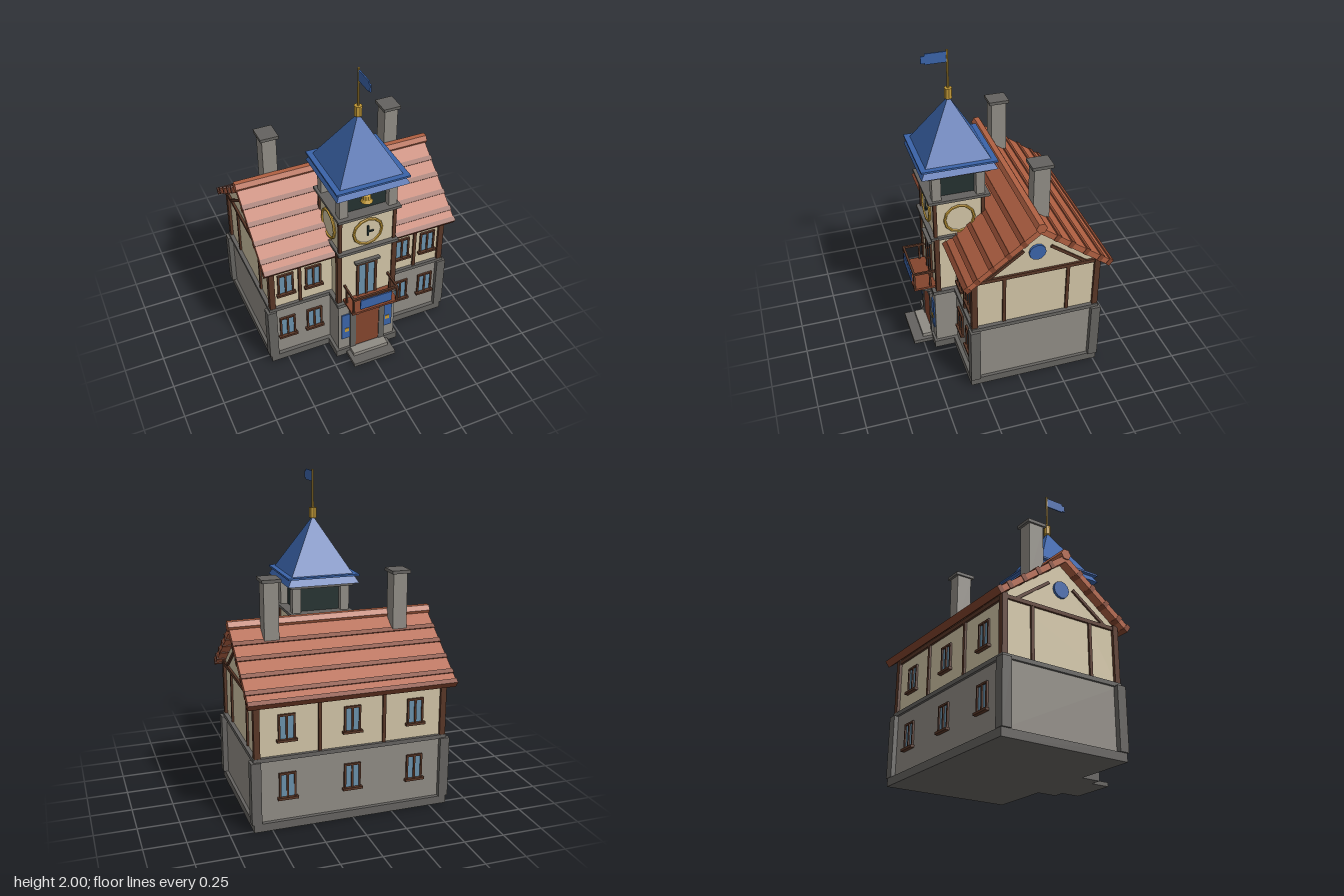
import * as THREE from 'three';

const mat = (name, color) => Object.assign(new THREE.MeshStandardMaterial({ color }), { name, flatShading: true });
const M = {
  stone: mat('stone', 0x8f8b84), trim: mat('dark stone', 0x64625f), plaster: mat('plaster', 0xd0c3a5),
  timber: mat('timber', 0x583626), tile: mat('roof tile', 0xb06042), brown: mat('red brown', 0x83442d),
  blue: mat('blue', 0x3a63a8), gold: mat('gold', 0xc39a38), glass: mat('glass', 0x6990aa), dark: mat('shadow', 0x243130),
};
const CZ = -0.105;  // centre line of the main house
const TZ = 0.25;    // centre line of the tower

export function createModel() {
  const root = new THREE.Group();
  const add = (name, geo, m, x = 0, y = 0, z = 0, parent = root) => {
    const mesh = new THREE.Mesh(geo, m);
    mesh.name = name;
    mesh.position.set(x, y, z);
    parent.add(mesh);
    return mesh;
  };
  // box given by its limits
  const span = (name, m, x0, x1, y0, y1, z0, z1, parent = root) =>
    add(name, new THREE.BoxGeometry(x1 - x0, y1 - y0, z1 - z0), m, (x0 + x1) / 2, (y0 + y1) / 2, (z0 + z1) / 2, parent);
  const group = (name, x, y, z, ry = 0) => {
    const g = new THREE.Group();
    g.name = name;
    g.position.set(x, y, z);
    g.rotation.y = ry;
    root.add(g);
    return g;
  };
  const sides = [-1, 1];

  // main house: plinth, stone storey, ledge, plaster storey
  span('plinth', M.trim, -0.61, 0.61, 0, 0.05, -0.52, 0.31);
  span('stoneStorey', M.stone, -0.59, 0.59, 0.05, 0.435, -0.495, 0.285);
  span('storeyLedge', M.trim, -0.605, 0.605, 0.43, 0.455, -0.51, 0.30);
  const gable = new THREE.Shape([[-0.385, 0.455], [0.385, 0.455], [0.385, 0.815], [0, 1.105], [-0.385, 0.815]]
    .map(p => new THREE.Vector2(...p)));
  const house = new THREE.ExtrudeGeometry(gable, { depth: 1.16, bevelEnabled: false });
  house.rotateY(Math.PI / 2);
  add('plasterStorey', house, M.plaster, -0.58, 0, CZ);

  for (const s of sides) for (const t of sides) {
    add('cornerStone', new THREE.BoxGeometry(0.06, 0.385, 0.06), M.trim, s * 0.592, 0.2425, CZ + t * 0.388);
    add('cornerPost', new THREE.BoxGeometry(0.036, 0.36, 0.036), M.timber, s * 0.58, 0.63, CZ + t * 0.385);
    add('sidePost', new THREE.BoxGeometry(0.02, 0.33, 0.02), M.timber, s * 0.582, 0.625, CZ + t * 0.2);
    // slanted gable braces
    const brace = add('gableBrace', new THREE.BoxGeometry(0.016, 0.018, 0.272), M.timber, s * 0.584, 0.88, CZ + t * 0.195);
    brace.rotation.x = t * 0.629;
  }
  for (const s of sides) {
    span('gableBeam', M.timber, s * 0.582 - 0.012, s * 0.582 + 0.012, 0.78, 0.803, -0.505, 0.295);
    const disc = add('gableDisc', new THREE.CylinderGeometry(0.052, 0.052, 0.02, 12), M.blue, s * 0.585, 0.937, CZ);
    disc.rotation.z = Math.PI / 2;
    span('frontPost', M.timber, s * 0.395 - 0.01, s * 0.395 + 0.01, 0.455, 0.79, 0.27, 0.293);
    span('backPost', M.timber, s * 0.2 - 0.01, s * 0.2 + 0.01, 0.455, 0.79, -0.503, -0.48);
  }
  for (const z of [0.283, -0.493]) span('eaveBeam', M.timber, -0.58, 0.58, 0.775, 0.8, z - 0.01, z + 0.01);

  // roof slopes with raised tile courses
  const slope = 0.637;
  for (const t of sides) {
    const g = group('roofSlope', 0, 1.142, CZ, t > 0 ? 0 : Math.PI);
    g.rotation.order = 'YXZ';
    g.rotation.x = slope;
    span('roofSlab', M.tile, -0.637, 0.637, -0.036, 0, 0, 0.57, g);
    for (const d of [0.11, 0.2, 0.297, 0.39, 0.45]) {
      const l = d / Math.cos(slope);
      span('tileCourse', M.brown, -0.64, 0.64, -0.038, 0.007, l - 0.015, l + 0.015, g);
    }
  }
  const ridge = add('ridgeCap', new THREE.CylinderGeometry(0.034, 0.034, 1.29, 6), M.tile, 0, 1.142, CZ);
  ridge.rotation.z = Math.PI / 2;

  for (const s of sides) {
    add('chimney', new THREE.BoxGeometry(0.09, 0.36, 0.1), M.stone, s * 0.405, 1.235, -0.172);
    add('chimneyCap', new THREE.BoxGeometry(0.116, 0.02, 0.13), M.trim, s * 0.405, 1.42, -0.172);
  }

  // two-pane windows with frame and sill
  const addWindow = (x, y, z, ry) => {
    const g = group('window', x, y, z, ry);
    span('windowGlass', M.glass, -0.045, 0.045, -0.07, 0.07, -0.005, 0.004, g);
    for (const px of [-0.046, 0, 0.046]) span('windowStile', M.timber, px - 0.006, px + 0.006, -0.078, 0.078, -0.005, 0.012, g);
    span('windowHead', M.timber, -0.052, 0.052, 0.07, 0.082, -0.005, 0.013, g);
    span('windowSill', M.timber, -0.062, 0.062, -0.085, -0.07, -0.005, 0.024, g);
  };
  for (const [y, off] of [[0.265, 0.39], [0.625, 0.385]]) {
    for (const s of sides) for (const x of [0.305, 0.487]) addWindow(s * x, y, CZ + off, 0);
    for (const x of [-0.4, 0, 0.4]) addWindow(x, y, CZ - off, Math.PI);
  }

  // tower shaft
  span('towerPlinth', M.trim, -0.215, 0.215, 0, 0.05, 0.1, 0.44);
  span('towerStone', M.stone, -0.195, 0.195, 0.05, 0.435, 0.1, 0.425);
  span('towerLedge', M.trim, -0.205, 0.205, 0.43, 0.455, 0.1, 0.435);
  span('towerPlaster', M.plaster, -0.178, 0.178, 0.455, 1.12, 0.095, 0.403);
  for (const s of sides) for (const t of sides) {
    add('towerPost', new THREE.BoxGeometry(0.032, 0.4, 0.03), M.timber, s * 0.183, 0.655, TZ + t * 0.148);
    add('clockStoreyPost', new THREE.BoxGeometry(0.022, 0.26, 0.022), M.timber, s * 0.177, 0.99, TZ + t * 0.15);
    add('belfryPost', new THREE.BoxGeometry(0.055, 0.165, 0.055), M.stone, s * 0.158, 1.21, TZ + t * 0.135);
  }
  span('clockLedge', M.trim, -0.197, 0.197, 0.847, 0.866, 0.07, 0.432);
  span('belfryFloor', M.trim, -0.203, 0.203, 1.112, 1.13, 0.06, 0.44);
  span('belfryCeiling', M.trim, -0.203, 0.203, 1.29, 1.312, 0.06, 0.44);
  span('belfryInside', M.dark, -0.14, 0.14, 1.13, 1.29, 0.13, 0.37);

  // bell
  const bell = [[0, 0.062], [0.016, 0.06], [0.024, 0.045], [0.028, 0.018], [0.038, 0], [0, 0]]
    .reverse().map(p => new THREE.Vector2(...p));
  add('bell', new THREE.LatheGeometry(bell, 10), M.gold, 0, 1.19, 0.385);

  // clocks on three faces
  const clock = (x, z, ry) => {
    const g = group('clock', x, 0.978, z, ry);
    const face = add('clockFace', new THREE.CylinderGeometry(0.092, 0.092, 0.012, 12), M.plaster, 0, 0, 0, g);
    face.rotation.x = Math.PI / 2;
    add('clockRing', new THREE.TorusGeometry(0.092, 0.009, 6, 12), M.gold, 0, 0, 0.006, g);
    return g;
  };
  const front = clock(0, 0.405, 0);
  span('minuteHand', M.dark, -0.005, 0.005, -0.03, 0.045, 0.006, 0.014, front);
  span('hourHand', M.dark, 0, 0.036, -0.005, 0.005, 0.006, 0.014, front);
  for (const s of sides) clock(s * 0.18, TZ, s * Math.PI / 2);

  // spire, finial and flag
  const spire = add('spire', new THREE.ConeGeometry(0.23 * Math.SQRT2, 0.4, 4), M.blue, 0, 1.512, TZ);
  spire.rotation.y = Math.PI / 4;
  add('spireBand', new THREE.BoxGeometry(0.46, 0.012, 0.46), M.blue, 0, 1.363, TZ);
  add('finial', new THREE.CylinderGeometry(0.024, 0.024, 0.064, 8), M.gold, 0, 1.732, TZ);
  add('flagPole', new THREE.CylinderGeometry(0.007, 0.007, 0.26, 8), M.gold, 0, 1.87, TZ);
  span('flag', M.blue, -0.004, 0.004, 1.925, 1.99, 0.255, 0.38);
  span('flagTip', M.blue, -0.004, 0.004, 1.933, 1.976, 0.38, 0.403);

  // entrance: steps, door, surround, hanging banners
  span('lowerStep', M.trim, -0.145, 0.145, 0, 0.025, 0.43, 0.565);
  span('upperStep', M.stone, -0.12, 0.12, 0.025, 0.05, 0.43, 0.5);
  span('door', M.brown, -0.085, 0.085, 0.05, 0.345, 0.42, 0.434);
  span('doorLintel', M.trim, -0.123, 0.123, 0.343, 0.38, 0.42, 0.443);
  for (const s of sides) {
    span('doorJamb', M.trim, s * 0.1 - 0.019, s * 0.1 + 0.019, 0.05, 0.343, 0.42, 0.44);
    span('banner', M.blue, s * 0.148 - 0.027, s * 0.148 + 0.027, 0.14, 0.35, 0.425, 0.433);
    span('bannerPatch', M.gold, s * 0.142 - 0.014, s * 0.142 + 0.014, 0.203, 0.232, 0.432, 0.437);
  }

  // balcony door
  span('balconyGlass', M.glass, -0.06, 0.06, 0.465, 0.725, 0.4, 0.408);
  for (const x of [-0.06, 0, 0.06]) span('balconyDoorStile', M.timber, x - 0.008, x + 0.008, 0.465, 0.73, 0.4, 0.415);
  span('balconyDoorHead', M.timber, -0.068, 0.068, 0.722, 0.735, 0.4, 0.416);
  span('balconyLintel', M.trim, -0.083, 0.083, 0.743, 0.757, 0.4, 0.428);

  // balcony
  span('balconyFloor', M.brown, -0.156, 0.156, 0.455, 0.469, 0.4, 0.545);
  span('balconyRail', M.timber, -0.152, 0.152, 0.573, 0.587, 0.534, 0.548);
  for (const s of sides) {
    span('balconySideRail', M.timber, s * 0.146 - 0.006, s * 0.146 + 0.006, 0.573, 0.587, 0.4, 0.545);
    for (const z of [0.541, 0.44]) span('balconyPost', M.timber, s * 0.146 - 0.006, s * 0.146 + 0.006, 0.465, 0.58, z - 0.006, z + 0.006);
    const bracket = add('balconyBracket', new THREE.BoxGeometry(0.02, 0.014, 0.115), M.trim, s * 0.115, 0.431, 0.487);
    bracket.rotation.x = -0.42;
  }
  span('balconyBanner', M.blue, -0.105, 0.105, 0.495, 0.568, 0.545, 0.553);

  return root;
}
